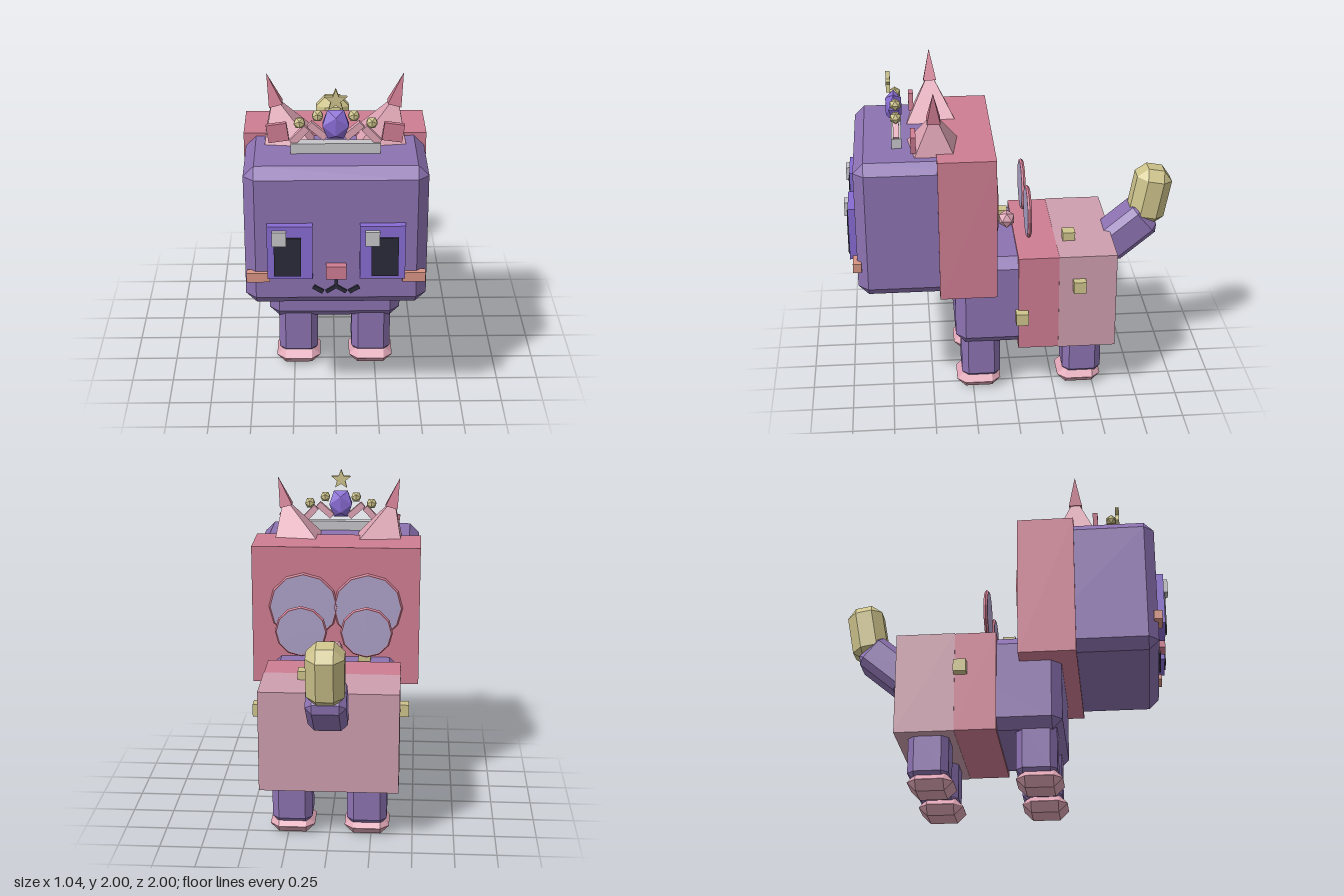
import * as THREE from 'three';
import { ConvexGeometry } from 'three/addons/geometries/ConvexGeometry.js';

const mat = (name, color) => {
  const m = new THREE.MeshStandardMaterial({ color, flatShading: true });
  m.name = name;
  return m;
};

export function createModel() {
  const purple = mat('purple', 0x8c72b1);
  const pink = mat('rose', 0xcf7d92);
  const lightPink = mat('light pink', 0xdfa5b5);
  const dustyPink = mat('dusty pink', 0xce9eae);
  const gold = mat('pale gold', 0xcec48c);
  const grey = mat('light grey', 0xc6c6ca);
  const violet = mat('violet', 0x876bd2);
  const dark = mat('dark', 0x2b2b3a);
  const coral = mat('coral', 0xd89484);
  const lavender = mat('lavender', 0xaca0c8);

  const model = new THREE.Group();
  const add = (name, geo, material, x, y, z, parent = model) => {
    const m = new THREE.Mesh(geo, material);
    m.name = name;
    m.position.set(x, y, z);
    parent.add(m);
    return m;
  };
  const box = (name, material, w, h, d, x, y, z, parent) =>
    add(name, new THREE.BoxGeometry(w, h, d), material, x, y, z, parent);

  // Box with every edge cut at 45 degrees
  const chamfer = (name, material, w, h, d, c, x, y, z) => {
    const pts = [];
    for (const i of [-0.5, 0.5]) for (const j of [-0.5, 0.5]) for (const k of [-0.5, 0.5]) {
      const p = new THREE.Vector3(i * w, j * h, k * d);
      const s = new THREE.Vector3(Math.sign(i), Math.sign(j), Math.sign(k)).multiplyScalar(c);
      pts.push(
        new THREE.Vector3(p.x, p.y - s.y, p.z - s.z),
        new THREE.Vector3(p.x - s.x, p.y, p.z - s.z),
        new THREE.Vector3(p.x - s.x, p.y - s.y, p.z));
    }
    return add(name, new ConvexGeometry(pts), material, x, y, z);
  };

  // Head and hood
  chamfer('head', purple, 1.02, 0.845, 0.79, 0.06, 0, 1.19, 0.535);
  box('hood', pink, 1.044, 0.88, 0.34, 0, 1.19, 0.28);

  // Body with two-tone rear shell
  chamfer('body', purple, 0.8, 0.585, 0.93, 0.06, 0, 0.633, -0.11);
  box('saddle', pink, 0.824, 0.615, 0.25, 0, 0.632, -0.15);
  box('rump', dustyPink, 0.83, 0.62, 0.35, 0, 0.632, -0.445);

  // Legs and paws
  for (const s of [-1, 1]) for (const z of [0.2, -0.43]) {
    chamfer('leg', purple, 0.24, 0.34, 0.24, 0.04, s * 0.225, 0.24, z);
    chamfer('paw', lightPink, 0.27, 0.108, 0.27, 0.053, s * 0.225, 0.054, z + 0.015);
  }

  // Tail
  chamfer('tailBase', purple, 0.235, 0.36, 0.225, 0.04, 0, 0.915, -0.727).rotation.x = -0.87;
  chamfer('tailTip', gold, 0.22, 0.36, 0.22, 0.06, 0, 1.15, -0.873).rotation.x = -0.18;

  // Ears: square pyramids leaning outward, with tips and inner pads
  const pyramid = (r, h) => new THREE.ConeGeometry(r, h, 4).rotateY(Math.PI / 4);
  for (const s of [-1, 1]) {
    const ear = new THREE.Group();
    ear.name = 'ear';
    ear.position.set(s * 0.275, 1.6, 0.46);
    ear.rotation.z = -s * 0.27;
    model.add(ear);
    add('earCone', pyramid(0.215, 0.31), lightPink, 0, 0.125, 0, ear);
    add('earTip', pyramid(0.056, 0.19), pink, 0, 0.317, 0, ear);
    box('innerEar', pink, 0.115, 0.105, 0.03, s * 0.325, 1.69, 0.58).rotation.z = -s * 0.14;
  }

  // Face
  for (const s of [-1, 1]) {
    box('eyePlate', violet, 0.252, 0.325, 0.06, s * 0.257, 1.132, 0.943);
    box('pupil', dark, 0.15, 0.236, 0.008, s * 0.27, 1.107, 0.977);
    box('cheek', coral, 0.13, 0.055, 0.05, s * 0.435, 0.967, 0.93);
    box('mouthInner', dark, 0.068, 0.02, 0.016, s * 0.027, 0.885, 0.935).rotation.z = -s * 0.58;
    box('mouthOuter', dark, 0.062, 0.024, 0.016, s * 0.1, 0.883, 0.935).rotation.z = s * 0.55;
  }
  box('eyeHighlight', grey, 0.08, 0.085, 0.025, -0.315, 1.227, 0.985);
  box('eyeHighlight', grey, 0.08, 0.085, 0.025, 0.2, 1.227, 0.985);
  box('nose', pink, 0.112, 0.08, 0.05, 0, 1.005, 0.95);
  box('mouthStem', dark, 0.02, 0.075, 0.016, 0, 0.932, 0.935);

  // Tiara
  box('tiaraBand', grey, 0.5, 0.06, 0.058, 0, 1.642, 0.675);
  for (const s of [-1, 1]) for (const [x, y, lean] of [[0.1, 1.74, 0.85], [0.2, 1.715, -0.75]]) {
    box('tiaraProng', lightPink, 0.04, 0.12, 0.035, s * x, y, 0.675).rotation.z = -s * lean;
    add('tiaraBead', new THREE.IcosahedronGeometry(0.036), gold, s * x, x < 0.15 ? 1.827 : 1.785, 0.675);
  }
  add('tiaraGem', new THREE.IcosahedronGeometry(0.1), violet, 0, 1.78, 0.685).scale.set(0.86, 1, 0.55);
  const star = new THREE.Shape(Array.from({ length: 10 }, (_, i) => {
    const r = i % 2 ? 0.028 : 0.066, a = Math.PI / 2 + i * Math.PI / 5;
    return new THREE.Vector2(r * Math.cos(a), r * Math.sin(a));
  }));
  add('tiaraStar', new THREE.ExtrudeGeometry(star, { depth: 0.025, bevelEnabled: false }),
    gold, 0, 1.935, 0.7);

  // Round wings with rims
  for (const s of [-1, 1]) for (const [r, y, z] of [[0.205, 1.25, 0.106], [0.148, 1.152, -0.097]]) {
    add('wing', new THREE.CylinderGeometry(r, r, 0.022, 12).rotateX(Math.PI / 2), lavender, s * 0.2, y, z);
    add('wingRim', new THREE.TorusGeometry(r, 0.013, 5, 12), pink, s * 0.2, y, z);
  }

  // Cube studs and back bead
  for (const [x, y, z] of [[0.428, 0.55, -0.045], [0.428, 0.755, -0.392], [-0.43, 0.712, -0.235],
    [-0.185, 0.957, 0.035], [0.16, 0.957, -0.352]])
    box('stud', gold, 0.076, 0.076, 0.076, x, y, z);
  add('backBead', new THREE.IcosahedronGeometry(0.056), lightPink, 0, 1.01, 0.015);

  return model;
}
